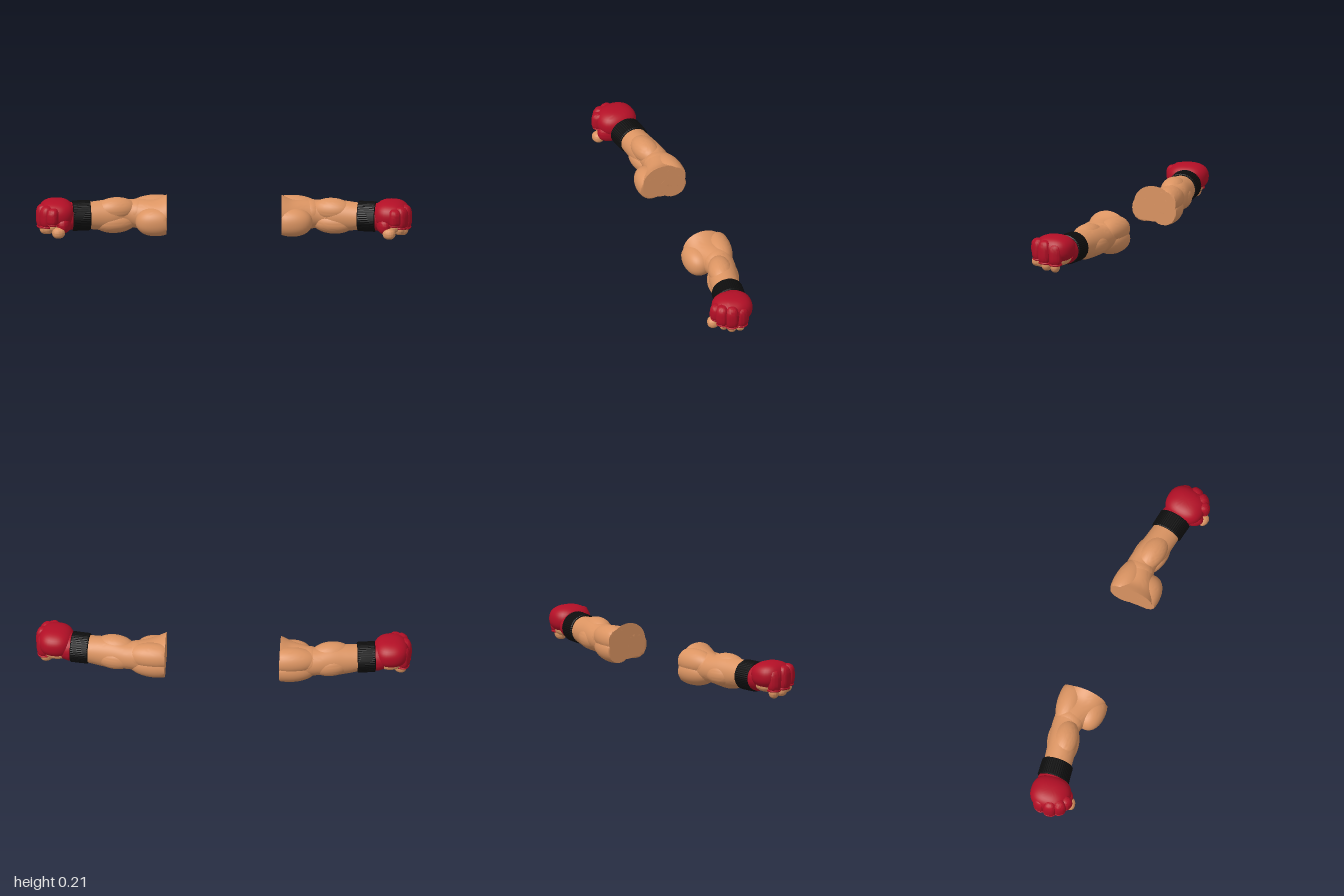
import * as THREE from 'three';
import { toCreasedNormals } from 'three/addons/utils/BufferGeometryUtils.js';

const CUT = 0.305; // plane where the upper arm ends

// rounded box / ellipsoid: centre, radii, yaw (+ turns x towards z), tilt about x, squareness
function blob(c, r, yaw = 0, p = 2, tilt = 0) {
  const g = new THREE.SphereGeometry(1, 36, 24);
  const a = g.attributes.position;
  for (let i = 0; i < a.count; i++) {
    const v = [a.getX(i), a.getY(i), a.getZ(i)];
    const n = Math.pow(v.reduce((s, k) => s + Math.pow(Math.abs(k), p), 0), 1 / p);
    a.setXYZ(i, v[0] / n, v[1] / n, v[2] / n);
  }
  g.scale(...r).rotateX(tilt).rotateY(-yaw).translate(...c);
  return g;
}

// closed loft along x; ring = [x, y, z, ry, rz], optional ribbing and lean
function loft(rings, { segs = 48, rib = 0, lean = 0 } = {}) {
  const pos = [], idx = [];
  const all = [rings[0], ...rings, rings[rings.length - 1]];
  all.forEach(([x, y, z, ry, rz], k) => {
    const end = k === 0 || k === all.length - 1;
    for (let j = 0; j < segs; j++) {
      const t = (j / segs) * Math.PI * 2;
      const f = end ? 0 : 1 + rib * (j % 2);
      const dz = Math.sin(t) * rz * f;
      pos.push(x - lean * dz, y + Math.cos(t) * ry * f, z + dz);
    }
  });
  for (let k = 0; k < all.length - 1; k++)
    for (let j = 0; j < segs; j++) {
      const a = k * segs + j, b = k * segs + (j + 1) % segs;
      idx.push(a, b, a + segs, b, b + segs, a + segs);
    }
  const g = new THREE.BufferGeometry();
  g.setAttribute('position', new THREE.Float32BufferAttribute(pos, 3));
  g.setIndex(idx);
  return g;
}

// smooth the rings of a loft with a spline
function smooth(rings, n) {
  const yz = new THREE.CatmullRomCurve3(rings.map(r => new THREE.Vector3(r[0], r[1], r[2])));
  const rr = new THREE.CatmullRomCurve3(rings.map(r => new THREE.Vector3(r[0], r[3], r[4])));
  return Array.from({ length: n + 1 }, (_, i) => {
    const a = yz.getPoint(i / n), b = rr.getPoint(i / n);
    return [a.x, a.y, a.z, b.y, b.z];
  });
}

export function createModel() {
  const model = new THREE.Group();
  const mat = (name, color) => {
    const m = new THREE.MeshStandardMaterial({ color });
    m.name = name;
    return m;
  };
  const skin = mat('skin', 0xdb9462);
  const red = mat('gloveRed', 0xb30f26);
  const black = mat('bandBlack', 0x0d0d0d);

  function buildArm(side, label) {
    const arm = new THREE.Group();
    arm.name = label;

    const add = (name, g, material, crease = 0.7) => {
      const a = g.attributes.position;
      for (let i = 0; i < a.count; i++) // flat cut at the shoulder end, mirrored for the other side
        a.setX(i, side * Math.max(CUT, a.getX(i)));
      if (side < 0) {
        const ix = g.index.array;
        for (let i = 0; i < ix.length; i += 3) [ix[i], ix[i + 1]] = [ix[i + 1], ix[i]];
      }
      g.deleteAttribute('uv');
      const mesh = new THREE.Mesh(toCreasedNormals(g, crease), material);
      mesh.name = name;
      arm.add(mesh);
    };

    // arm core
    add('armCore', loft(smooth([
      [0.305, 0.118, -0.03, 0.097, 0.112], [0.36, 0.105, -0.035, 0.085, 0.105],
      [0.44, 0.105, -0.055, 0.08, 0.085], [0.51, 0.107, -0.06, 0.074, 0.075],
      [0.58, 0.106, -0.042, 0.084, 0.08], [0.65, 0.106, -0.028, 0.08, 0.078],
      [0.72, 0.108, -0.015, 0.072, 0.076], [0.78, 0.11, -0.004, 0.07, 0.074]], 40)), skin);

    // muscles
    add('biceps', blob([0.362, 0.087, 0.026], [0.108, 0.076, 0.076], 0, 2.2), skin);
    add('innerTriceps', blob([0.355, 0.076, -0.085], [0.15, 0.075, 0.078], 0.05), skin);
    add('outerTriceps', blob([0.365, 0.128, -0.092], [0.15, 0.07, 0.07], 0.08), skin);
    add('elbowMuscle', blob([0.455, 0.115, -0.06], [0.085, 0.07, 0.08], 0.1), skin);
    add('upperForearm', blob([0.575, 0.139, -0.03], [0.11, 0.063, 0.066], 0.2), skin);
    add('backForearm', blob([0.575, 0.095, -0.075], [0.105, 0.06, 0.055], 0.2), skin);
    add('lowerForearm', blob([0.58, 0.072, -0.02], [0.115, 0.06, 0.063], 0.2), skin);

    // ribbed wrist band
    add('wristBand', loft([
      [0.712, 0.11, -0.016, 0.075, 0.079], [0.716, 0.11, -0.015, 0.079, 0.083],
      [0.76, 0.11, -0.009, 0.079, 0.084], [0.803, 0.11, -0.002, 0.079, 0.085],
      [0.807, 0.11, -0.002, 0.074, 0.08]], { segs: 96, rib: 0.018, lean: 0.1 }), black, 0.3);

    // glove shell
    add('gloveCuff', loft([
      [0.80, 0.11, -0.002, 0.072, 0.078], [0.82, 0.11, 0.0, 0.074, 0.081],
      [0.85, 0.113, 0.008, 0.07, 0.08]], { lean: 0.1 }), red);
    add('gloveBack', blob([0.891, 0.136, 0.022], [0.094, 0.073, 0.108], 0.1, 2.4), red);
    add('gloveThumb', blob([0.848, 0.088, 0.078], [0.035, 0.046, 0.058], -0.3, 2.3), red);
    add('palm', blob([0.885, 0.082, 0.025], [0.07, 0.04, 0.085], 0.1, 2.4), skin);

    // four curled fingers: [angle from +x to +z, centre y, half height, half width]
    const fingers = [
      [1.42, 0.136, 0.05, 0.032], [0.85, 0.131, 0.062, 0.035],
      [0.22, 0.124, 0.067, 0.037], [-0.48, 0.114, 0.064, 0.036]];
    fingers.forEach(([t, y, h, w], i) => {
      const at = (k, yy) => [0.895 + Math.cos(t) * 0.103 * k, yy, 0.03 + Math.sin(t) * 0.131 * k];
      const yaw = t * 0.8 + 0.05;
      add('gloveFinger' + (i + 1), blob(at(0.6, y), [0.043, h, w], yaw, 2.9), red);
      add('fingerHem' + (i + 1), blob(at(0.58, y - h + 0.012), [0.041, 0.009, w], yaw, 2.6), red);
      add('fingerTip' + (i + 1), blob(at(0.5, y - h - 0.002), [0.034, 0.032, w * 0.72], yaw, 2.2), skin);
    });

    // thumb tip
    add('thumbTip', blob([0.878, 0.054, 0.125], [0.034, 0.029, 0.031], 0.3, 2.3), skin);
    model.add(arm);
  }

  buildArm(1, 'leftArm');
  buildArm(-1, 'rightArm');
  return model;
}
